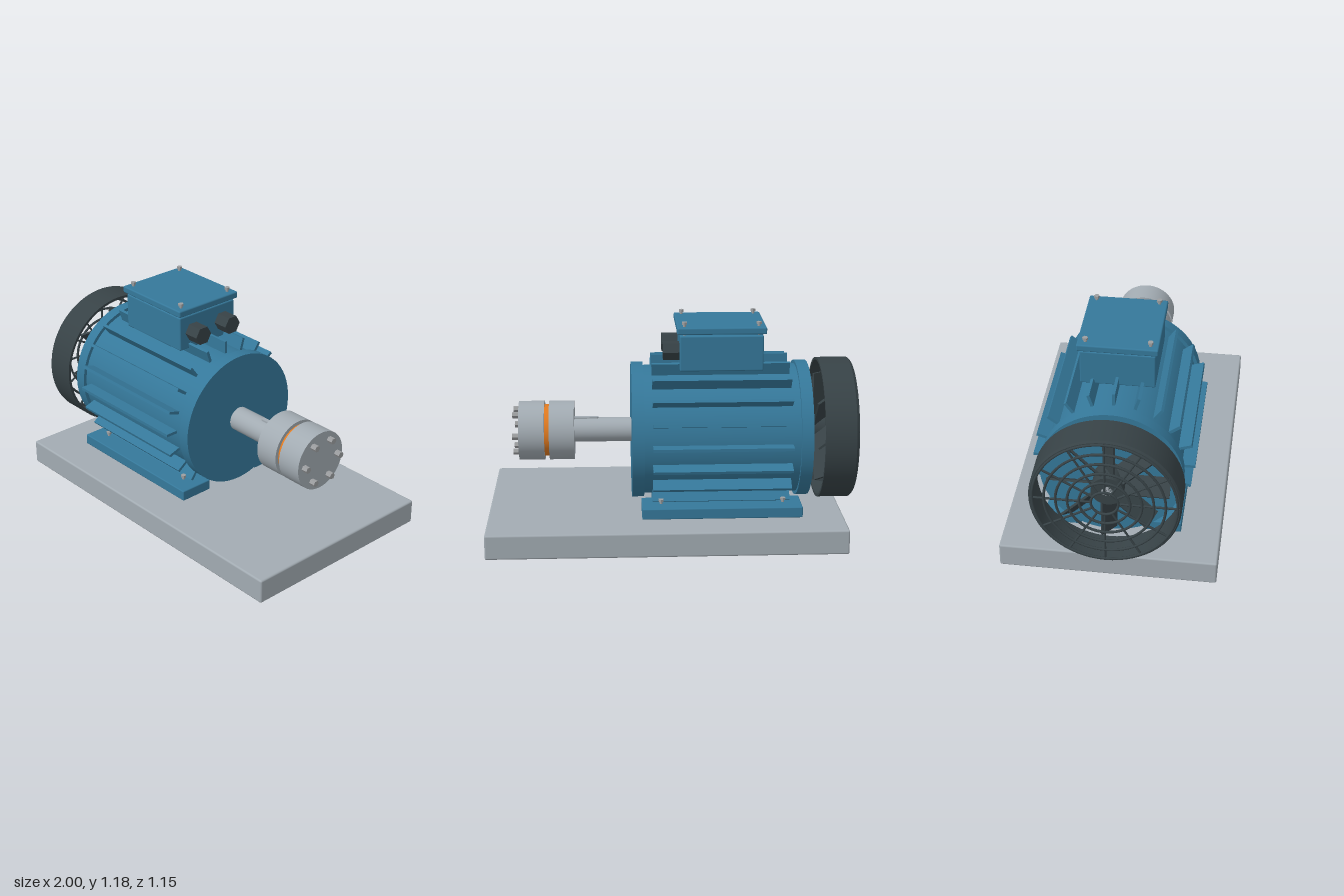
import * as THREE from 'three';
import { RoundedBoxGeometry } from 'three/addons/geometries/RoundedBoxGeometry.js';

const AXIS_Y = 0.54;
const mat = (name, color) => {
  const m = new THREE.MeshStandardMaterial({ color });
  m.name = name;
  return m;
};

export function createModel() {
  const blue = mat('motor blue', 0x35789a);
  const steel = mat('steel grey', 0xa2abb2);
  const boltGrey = mat('bolt grey', 0x9c9ea0);
  const dark = mat('charcoal', 0x374246);
  const orange = mat('orange', 0xe07a20);
  const root = new THREE.Group();
  root.name = 'electricMotor';

  const add = (parent, name, geo, material, x = 0, y = 0, z = 0) => {
    const m = new THREE.Mesh(geo, material);
    m.name = name;
    m.position.set(x, y, z);
    parent.add(m);
    return m;
  };
  const group = (name, parent = root, y = 0) => {
    const g = new THREE.Group();
    g.name = name;
    g.position.y = y;
    parent.add(g);
    return g;
  };
  // Box given by its limits on each axis
  const block = (parent, name, material, x0, x1, y0, y1, z0, z1, r = 0.008) =>
    add(parent, name, new RoundedBoxGeometry(x1 - x0, y1 - y0, z1 - z0, 2, r), material,
      (x0 + x1) / 2, (y0 + y1) / 2, (z0 + z1) / 2);
  // Cylinder lying along x
  const rod = (parent, name, material, x0, x1, r, y = 0, z = 0, seg = 64) => {
    let g = new THREE.CylinderGeometry(r, r, x1 - x0, seg).rotateZ(-Math.PI / 2);
    if (seg === 6) {
      g = g.toNonIndexed();
      g.computeVertexNormals();
    }
    return add(parent, name, g, material, (x0 + x1) / 2, y, z);
  };
  // Upright screw with a hexagonal head; top is the top of the head
  const screw = (parent, x, top, z, depth) => {
    const s = group('screw', parent);
    s.position.set(x, top, z);
    const head = new THREE.CylinderGeometry(0.015, 0.015, 0.013, 6).toNonIndexed();
    head.computeVertexNormals();
    add(s, 'screwHead', head, boltGrey, 0, -0.0065, 0);
    add(s, 'screwStem', new THREE.CylinderGeometry(0.008, 0.008, depth, 12), boltGrey, 0, -depth / 2 - 0.01, 0);
  };

  // Base plate
  block(root, 'basePlate', steel, -0.93, 1, 0, 0.135, -0.575, 0.575, 0.01);

  // Feet with hold-down screws
  for (const s of [-1, 1]) {
    const foot = group('foot');
    block(foot, 'footPad', blue, -0.705, 0.165, 0.135, 0.195, s * 0.2675 - 0.0975, s * 0.2675 + 0.0975, 0.006);
    for (const x of [-0.605, 0.06]) screw(foot, x, 0.22, s * 0.273, 0.04);
  }

  // Housing, end bells and cooling fins
  const motor = group('motor', root, AXIS_Y);
  rod(motor, 'housing', blue, -0.7, 0.16, 0.356);
  rod(motor, 'rearEndBell', blue, -0.755, -0.69, 0.375);
  rod(motor, 'frontEndBell', blue, 0.15, 0.215, 0.375);
  for (let i = 0; i < 20; i++) {
    const a = (i * Math.PI) / 10;
    const fin = add(motor, 'coolingFin', new THREE.BoxGeometry(0.75, 0.085, 0.016), blue,
      -0.27, Math.cos(a) * 0.3825, Math.sin(a) * 0.3825);
    fin.rotation.x = a;
  }

  // Terminal box, lid and cable glands
  const box = group('terminalBox');
  block(box, 'boxBody', blue, -0.495, -0.045, 0.914, 1.108, -0.196, 0.196);
  block(box, 'boxLid', blue, -0.51, -0.03, 1.117, 1.155, -0.21, 0.21);
  for (const z of [-0.167, 0.167]) for (const x of [-0.47, -0.07]) screw(box, x, 1.18, z, 0.075);
  for (const z of [-0.105, 0.105]) rod(box, 'cableGland', dark, -0.05, 0.043, 0.053, 1.01, z, 6);

  // Drive shaft and its key
  const drive = group('drive', root, AXIS_Y);
  rod(drive, 'shaft', steel, 0.2, 0.54, 0.067, 0, 0, 40);
  add(drive, 'shaftKey', new THREE.BoxGeometry(0.13, 0.03, 0.026), steel, 0.473, 0.059, 0);
  add(drive, 'shaftKeyEnd', new THREE.CylinderGeometry(0.013, 0.013, 0.03, 20), steel, 0.408, 0.059, 0);

  // Flexible coupling
  rod(drive, 'couplingHubInner', steel, 0.53, 0.667, 0.163);
  rod(drive, 'couplingInsert', orange, 0.66, 0.7, 0.143);
  rod(drive, 'couplingHubOuter', steel, 0.693, 0.833, 0.163);
  for (let i = 0; i < 6; i++) {
    const a = (i * Math.PI) / 3;
    rod(drive, 'couplingBolt', boltGrey, 0.825, 0.867, 0.018, Math.sin(a) * 0.12, Math.cos(a) * 0.12, 6);
  }

  // Fan: hub and pitched blades
  const fan = group('fan', root, AXIS_Y);
  rod(fan, 'fanShaft', steel, -0.9, -0.75, 0.03, 0, 0, 24);
  rod(fan, 'fanHub', dark, -0.9, -0.77, 0.085, 0, 0, 40);
  for (let i = 0; i < 8; i++) {
    const arm = group('fanBladeArm', fan);
    arm.rotation.x = (i * Math.PI) / 4;
    const blade = add(arm, 'fanBlade', new THREE.BoxGeometry(0.11, 0.245, 0.012), dark, -0.833, 0.193, 0);
    blade.rotation.y = 0.65;
  }

  // Fan cowl, open towards the motor
  const cowl = group('fanCowl', root, AXIS_Y);
  const ring = [[0.375, -0.993], [0.382, -0.993], [0.39, -0.983], [0.39, -0.815], [0.375, -0.815], [0.375, -0.993]];
  const profile = [];
  ring.forEach(([r, x], i) => { // doubled corners keep the edges crisp
    const p = new THREE.Vector2(r, x);
    if (i) profile.push(p.clone().lerp(new THREE.Vector2(...ring[i - 1]), 0.02));
    profile.push(p);
    if (i < ring.length - 1) profile.push(p.clone().lerp(new THREE.Vector2(...ring[i + 1]), 0.02));
  });
  const shell = new THREE.LatheGeometry(profile, 64).rotateZ(-Math.PI / 2);
  const cowlMat = dark.clone();
  cowlMat.name = 'charcoal cowl';
  cowlMat.side = THREE.DoubleSide;
  add(cowl, 'cowlShell', shell, cowlMat);

  // Wire grille of rings and spokes
  for (const r of [0.07, 0.13, 0.19, 0.25, 0.31, 0.37]) {
    add(cowl, 'grilleRing', new THREE.TorusGeometry(r, 0.007, 8, 56).rotateY(Math.PI / 2), dark, -0.993);
  }
  for (let i = 0; i < 12; i++) {
    const a = (i * Math.PI) / 6;
    const spoke = add(cowl, 'grilleSpoke', new THREE.CylinderGeometry(0.006, 0.006, 0.31, 8), dark,
      -0.99, Math.cos(a) * 0.225, Math.sin(a) * 0.225);
    spoke.rotation.x = a;
  }
  return root;
}
